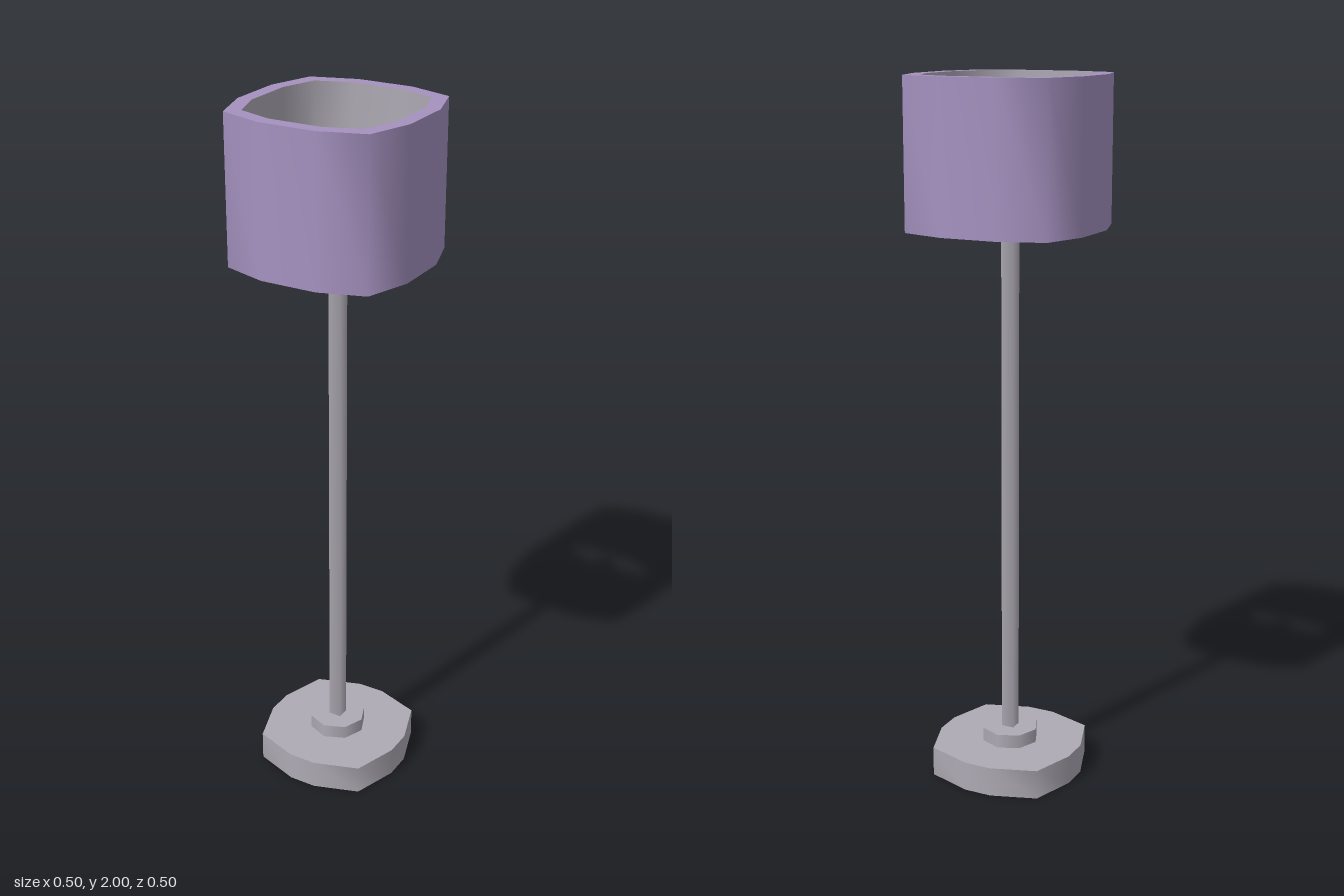
import * as THREE from 'three';

// Twelve-cornered outline: flat sides at distance r, each 2*f wide, diagonal corners at (c, c)
function outline(r, f, c) {
  const pts = [];
  for (let i = 0; i < 4; i++) {
    for (const [x, z] of [[r, -f], [r, f], [c, c]]) {
      const p = new THREE.Vector2(x, z);
      for (let k = 0; k < i; k++) p.set(-p.y, p.x);
      pts.push(p);
    }
  }
  return pts;
}

// Smooth upright wall around an outline, facing outward or inward
function wall(pts, y0, y1, inward = false) {
  const pos = [], index = [], n = pts.length;
  pts.forEach((p) => pos.push(p.x, y0, p.y, p.x, y1, p.y));
  for (let i = 0; i < n; i++) {
    const a = i * 2, b = ((i + 1) % n) * 2;
    if (inward) index.push(a, b, b + 1, a, b + 1, a + 1);
    else index.push(a, b + 1, b, a, a + 1, b + 1);
  }
  const g = new THREE.BufferGeometry();
  g.setAttribute('position', new THREE.Float32BufferAttribute(pos, 3));
  g.setIndex(index);
  g.computeVertexNormals();
  return g;
}

// Horizontal face, optionally with a hole, facing up or down
function plate(pts, hole, y, up = true) {
  const s = new THREE.Shape(pts);
  if (hole) s.holes.push(new THREE.Path(hole));
  return new THREE.ShapeGeometry(s).rotateX(up ? -Math.PI / 2 : Math.PI / 2).translate(0, y, 0);
}

export function createModel() {
  const model = new THREE.Group();
  model.name = 'floorLamp';
  const purple = new THREE.MeshStandardMaterial({ color: 0xa592c0 });
  const metal = new THREE.MeshStandardMaterial({ color: 0xaeaab4, side: THREE.DoubleSide });
  const glow = new THREE.MeshStandardMaterial({ color: 0xe4d6a2 });
  purple.name = 'purple fabric';
  metal.name = 'grey metal';
  glow.name = 'warm bulb';

  const add = (name, geometry, material, parent = model) => {
    const m = new THREE.Mesh(geometry, material);
    m.name = name;
    parent.add(m);
    return m;
  };

  // Base: hollow underneath
  const base = new THREE.Group();
  base.name = 'base';
  model.add(base);
  const foot = outline(0.21, 0.04, 0.167);
  add('baseWall', wall(foot, 0, 0.085), metal, base);
  add('baseTop', plate(foot, null, 0.085), metal, base);
  add('collar', new THREE.CylinderGeometry(0.083, 0.083, 0.04, 8).translate(0, 0.105, 0), metal, base);

  // Square pole
  add('pole', new THREE.CylinderGeometry(0.026, 0.026, 1.55, 4)
    .rotateY(Math.PI / 4).translate(0, 0.9, 0), metal);

  // Four-sided bulb on top of the pole
  const profile = [[0, 1.66], [0.025, 1.66], [0.046, 1.71], [0.046, 1.75], [0.028, 1.79], [0, 1.8]];
  add('bulb', new THREE.LatheGeometry(profile.map(([x, y]) => new THREE.Vector2(x, y)), 4)
    .rotateY(Math.PI / 4), glow);

  // Thick shade, open at both ends, with a grey lining
  const shade = new THREE.Group();
  shade.name = 'shade';
  model.add(shade);
  const outer = outline(0.25, 0.081, 0.209);
  const inner = outline(0.21, 0.075, 0.176);
  add('shadeOuter', wall(outer, 1.59, 2), purple, shade);
  add('shadeLining', wall(inner, 1.59, 2, true), metal, shade);
  add('shadeTopRim', plate(outer, inner, 2), purple, shade);
  add('shadeBottomRim', plate(outer, inner, 1.59, false), purple, shade);

  return model;
}
